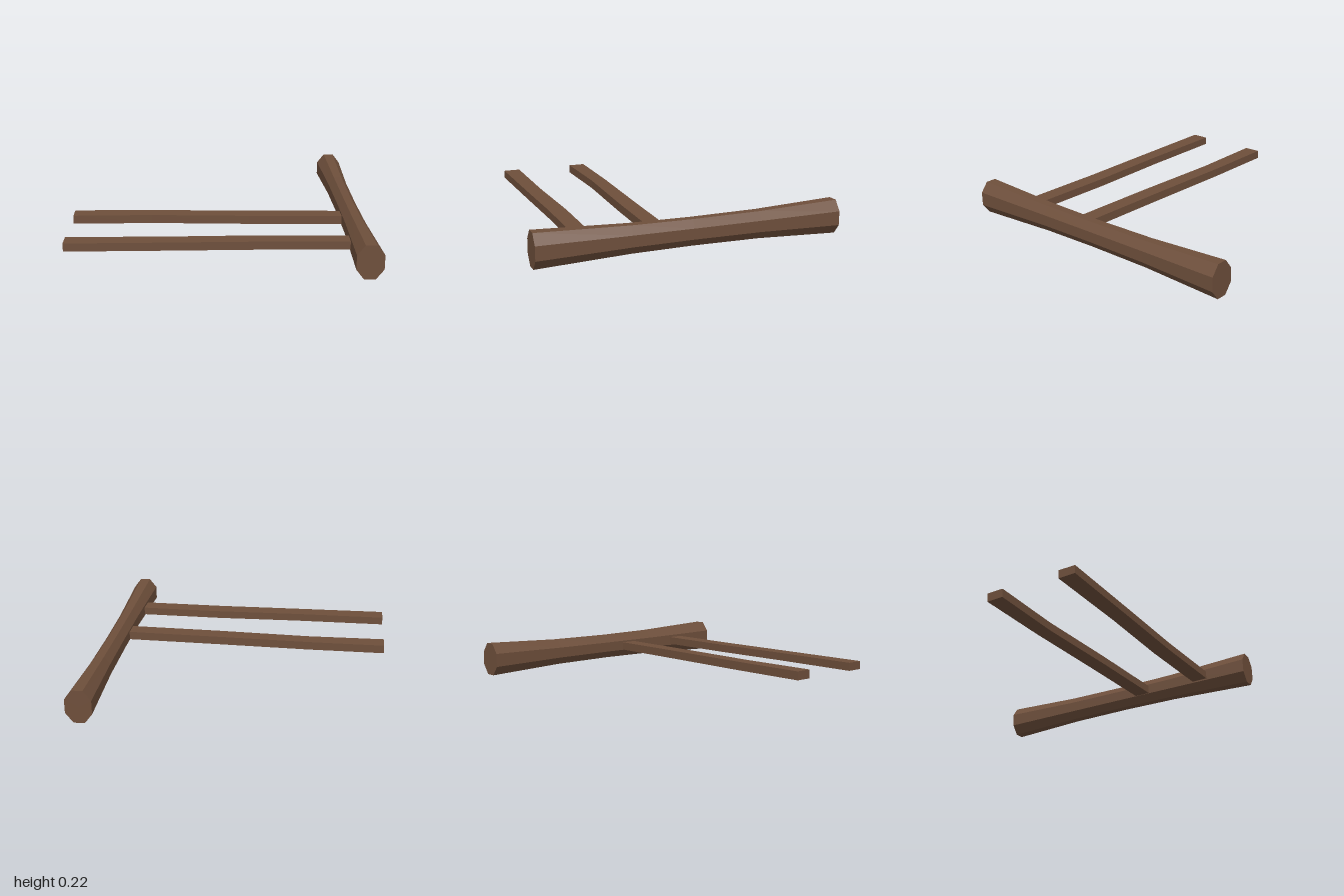
import * as THREE from 'three';

const wood = new THREE.MeshStandardMaterial({ color: 0x6e4f3b });
wood.name = 'brown wood';

// Eight-sided log along z, thinner in the middle
function makeLog() {
  const stations = [ // z, half width, half height
    [-1, 0.085, 0.11], [-0.45, 0.067, 0.088], [0, 0.064, 0.084],
    [0.4, 0.067, 0.088], [1, 0.085, 0.11],
  ];
  const indexed = new THREE.CylinderGeometry(1, 1, 2, 8, 4, false, Math.PI / 8);
  indexed.rotateX(Math.PI / 2);
  const geometry = indexed.toNonIndexed();
  const p = geometry.attributes.position;
  const toFlat = 1 / Math.cos(Math.PI / 8);
  for (let i = 0; i < p.count; i++) {
    const [z, w, h] = stations[Math.round((p.getZ(i) + 1) * 2)];
    p.setXYZ(i, 0.893 + p.getX(i) * w * toFlat, 0.112 + p.getY(i) * h * toFlat, z);
  }
  geometry.computeVertexNormals();
  const mesh = new THREE.Mesh(geometry, wood);
  mesh.name = 'log';
  return mesh;
}

// Slightly crooked plank; each row is x, back z, front z
function makePlank(name, rows, bottom, top) {
  const back = rows.map(([x, z]) => new THREE.Vector2(x, z));
  const front = rows.map(([x, , z]) => new THREE.Vector2(x, z)).reverse();
  const geometry = new THREE.ExtrudeGeometry(new THREE.Shape([...back, ...front]),
    { depth: top - bottom, bevelEnabled: false });
  geometry.rotateX(Math.PI / 2).translate(0, top, 0);
  const mesh = new THREE.Mesh(geometry, wood);
  mesh.name = name;
  return mesh;
}

export function createModel() {
  const group = new THREE.Group();
  group.name = 'logWithPlanks';
  group.add(
    makeLog(),
    makePlank('backPlank', [
      [-0.98, 0.083, 0.196], [-0.45, 0.087, 0.19], [0.2, 0.108, 0.218], [0.86, 0.125, 0.235],
    ], 0.079, 0.136),
    makePlank('frontPlank', [
      [-0.98, 0.6, 0.715], [-0.35, 0.603, 0.71], [0.23, 0.591, 0.703], [0.86, 0.601, 0.712],
    ], 0.082, 0.136),
  );
  return group;
}
